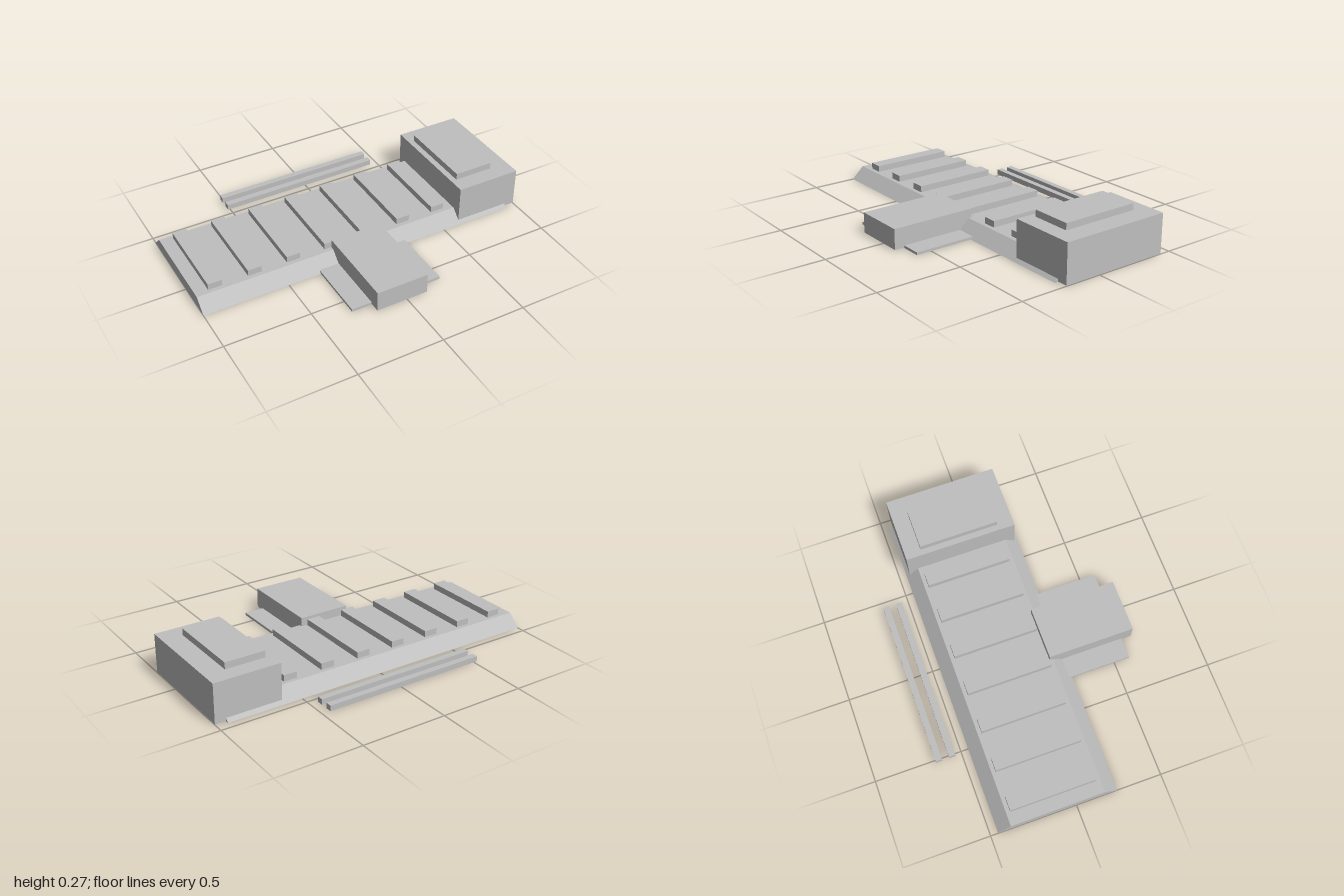
import * as THREE from 'three';

export function createModel() {
  const group = new THREE.Group();
  const grey = new THREE.MeshStandardMaterial({ color: 0xbfbfbf });
  grey.name = 'concrete grey';

  const add = (name, geometry) => {
    const mesh = new THREE.Mesh(geometry, grey);
    mesh.name = name;
    group.add(mesh);
    return mesh;
  };

  // box given by its limits on each axis
  const box = (name, x0, x1, y0, y1, z0, z1) =>
    add(name, new THREE.BoxGeometry(x1 - x0, y1 - y0, z1 - z0))
      .position.set((x0 + x1) / 2, (y0 + y1) / 2, (z0 + z1) / 2);

  // long hall with sloped front and back, extruded along x
  const profile = new THREE.Shape([
    new THREE.Vector2(-0.24, 0),
    new THREE.Vector2(0.457, 0),
    new THREE.Vector2(0.383, 0.071),
    new THREE.Vector2(-0.165, 0.071),
  ]);
  const hall = new THREE.ExtrudeGeometry(profile, { depth: 1.937, bevelEnabled: false });
  hall.rotateY(Math.PI / 2);
  hall.translate(-1, 0, 0);
  add('hall', hall);

  // roof skylights
  for (let i = 0; i < 7; i++) {
    const x = -0.925 + i * 0.2325;
    box('skylight', x, x + 0.081, 0.06, 0.108, -0.36, 0.14);
  }

  // end block with raised roof
  box('endBlock', 0.61, 1, 0.003, 0.233, -0.437, 0.221);
  box('endBlockRoof', 0.645, 0.88, 0.233, 0.272, -0.341, 0.125);

  // entrance wing in three storeys on a low terrace
  box('terrace', -0.305, 0.241, 0, 0.015, 0.22, 0.59);
  [0.004, 0.044, 0.086].forEach((y, i, levels) =>
    box('entranceStorey', -0.186, 0.122, y, levels[i + 1] ?? 0.123, 0.145, 0.65));

  // two long bars behind the hall
  for (const z of [-0.65, -0.573]) box('rearBar', -0.515, 0.455, 0.004, 0.036, z, z + 0.036);

  return group;
}
